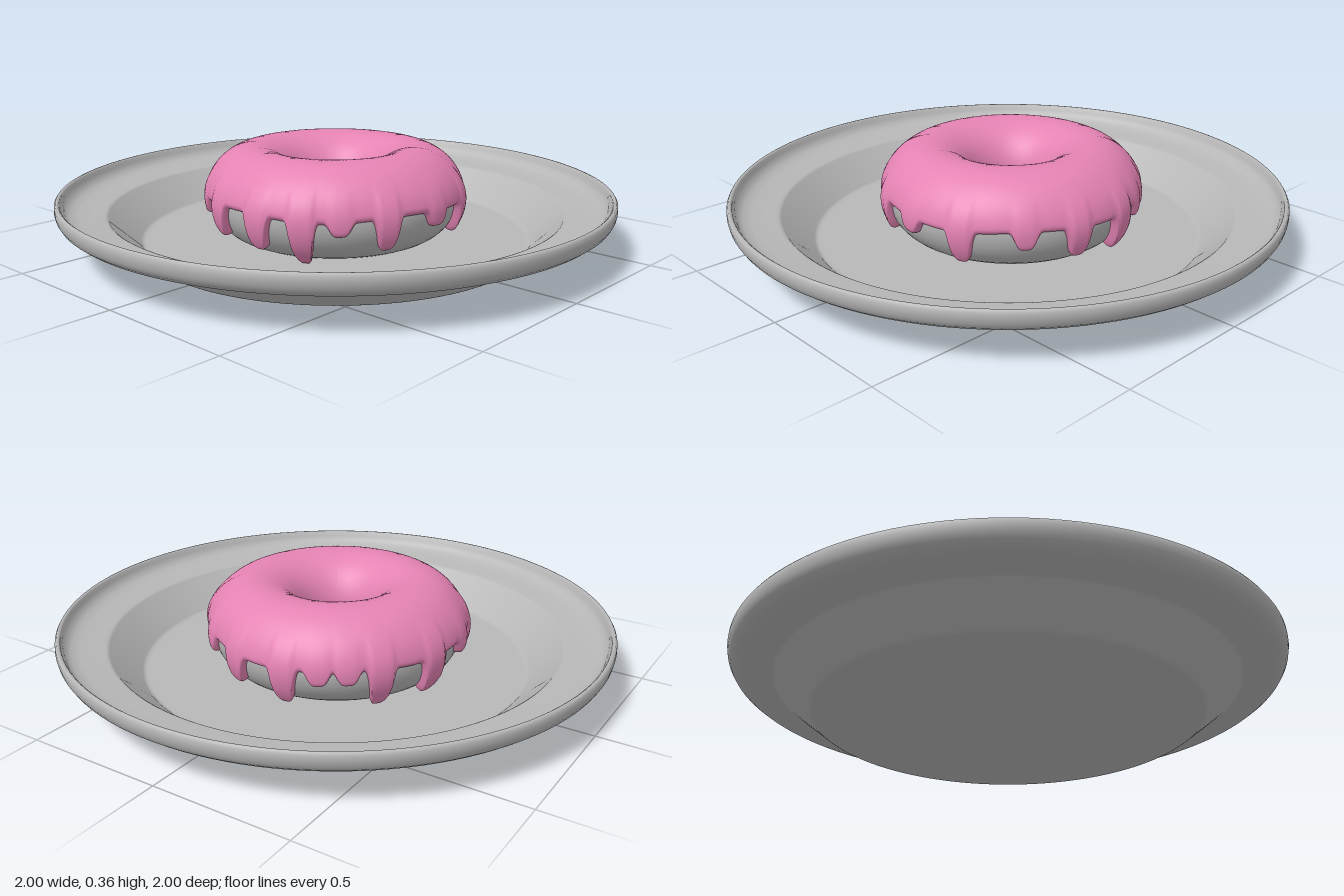
import * as THREE from 'three';

const grey = new THREE.MeshStandardMaterial({ color: 0xb8b8b8 });
grey.name = 'grey';
const pink = new THREE.MeshStandardMaterial({ color: 0xe583b4 });
pink.name = 'pink';

const RING = 0.295, DOUGH = 0.16, CENTRE_Y = 0.185;
const rad = THREE.MathUtils.degToRad;

// Drips around the outer edge: [direction in degrees from +x towards +z, length in degrees of the section]
const drips = [
  [0, 17], [25, 40], [45, 16], [61, 60], [81, 42], [106, 38], [127, 20], [150, 36], [170, 18],
  [193, 50], [219, 56], [233, 18], [245, 18], [260, 46], [285, 36], [308, 22], [335, 40],
];

// How far the icing hangs at direction a (degrees), as degrees below the equator
function dripAt(a) {
  let hang = 0;
  for (const [at, length] of drips) {
    const d = Math.abs(((a - at + 540) % 360) - 180);
    hang = Math.max(hang, length * Math.exp(-((d / 4.8) ** 4)));
  }
  return hang;
}

// Icing: a shell over the dough, thinning to nothing at its wavy edges
function icingGeometry() {
  const around = 480, across = 56;
  const positions = [], index = [];
  for (let i = 0; i < around; i++) {
    const deg = (i / around) * 360, a = rad(deg);
    const hang = dripAt(deg);
    const start = rad(1 + 2 * Math.sin(a * 5) - hang);
    const end = rad(205 + 6 * Math.sin(a * 7) + 4 * Math.sin(a * 11 + 1));
    const swell = 0.006 + 0.004 * Math.sin(a * 4 + 2) + 0.008 * Math.min(hang / 30, 1);
    for (let j = 0; j <= across; j++) {
      const v = start + (end - start) * (1 - Math.cos((Math.PI * j) / across)) / 2;
      const edge = Math.min(1, Math.min(v - start, end - v) / 0.13);
      const lower = THREE.MathUtils.smoothstep(0.9 - v, 0, 0.9);
      const r = DOUGH - 0.003 + (0.018 + swell * lower) * Math.sqrt(Math.max(0, 1 - (1 - edge) ** 2));
      const out = RING + r * Math.cos(v);
      positions.push(out * Math.cos(a), Math.max(CENTRE_Y + r * Math.sin(v), 0.031), out * Math.sin(a));
      if (j < across) {
        const p = i * (across + 1) + j, q = ((i + 1) % around) * (across + 1) + j;
        index.push(p, p + 1, q, p + 1, q + 1, q);
      }
    }
  }
  const geometry = new THREE.BufferGeometry();
  geometry.setAttribute('position', new THREE.Float32BufferAttribute(positions, 3));
  geometry.setIndex(index);
  geometry.computeVertexNormals();
  return geometry;
}

// Plate section, from the centre underneath, out round the rim and back to the centre on top
function plateGeometry() {
  const profile = [
    [0, 0], [0.695, 0], [0.7, 0.001], [0.707, 0.005], [0.712, 0.009],
    [0.835, 0.108], [0.84, 0.111], [0.85, 0.113], [0.9, 0.115], [0.94, 0.12],
    [0.968, 0.129], [0.986, 0.143], [0.996, 0.16], [1, 0.18], [0.999, 0.196],
    [0.994, 0.204], [0.987, 0.205], [0.981, 0.2], [0.977, 0.185], [0.968, 0.168],
    [0.95, 0.155], [0.92, 0.147], [0.87, 0.143], [0.832, 0.14], [0.824, 0.138],
    [0.818, 0.134], [0.71, 0.036], [0.703, 0.032], [0.695, 0.03], [0.68, 0.03], [0, 0.03],
  ];
  return new THREE.LatheGeometry(profile.map(([x, y]) => new THREE.Vector2(x, y)), 128);
}

export function createModel() {
  const model = new THREE.Group();
  model.name = 'doughnutOnPlate';

  const plate = new THREE.Mesh(plateGeometry(), grey);
  plate.name = 'plate';
  model.add(plate);

  const doughnut = new THREE.Group();
  doughnut.name = 'doughnut';
  doughnut.position.set(-0.01, 0, -0.005);
  model.add(doughnut);

  const dough = new THREE.Mesh(new THREE.TorusGeometry(RING, DOUGH, 40, 96).rotateX(Math.PI / 2), grey);
  dough.name = 'dough';
  dough.position.y = CENTRE_Y;
  doughnut.add(dough);

  const icing = new THREE.Mesh(icingGeometry(), pink);
  icing.name = 'icing';
  doughnut.add(icing);

  return model;
}
